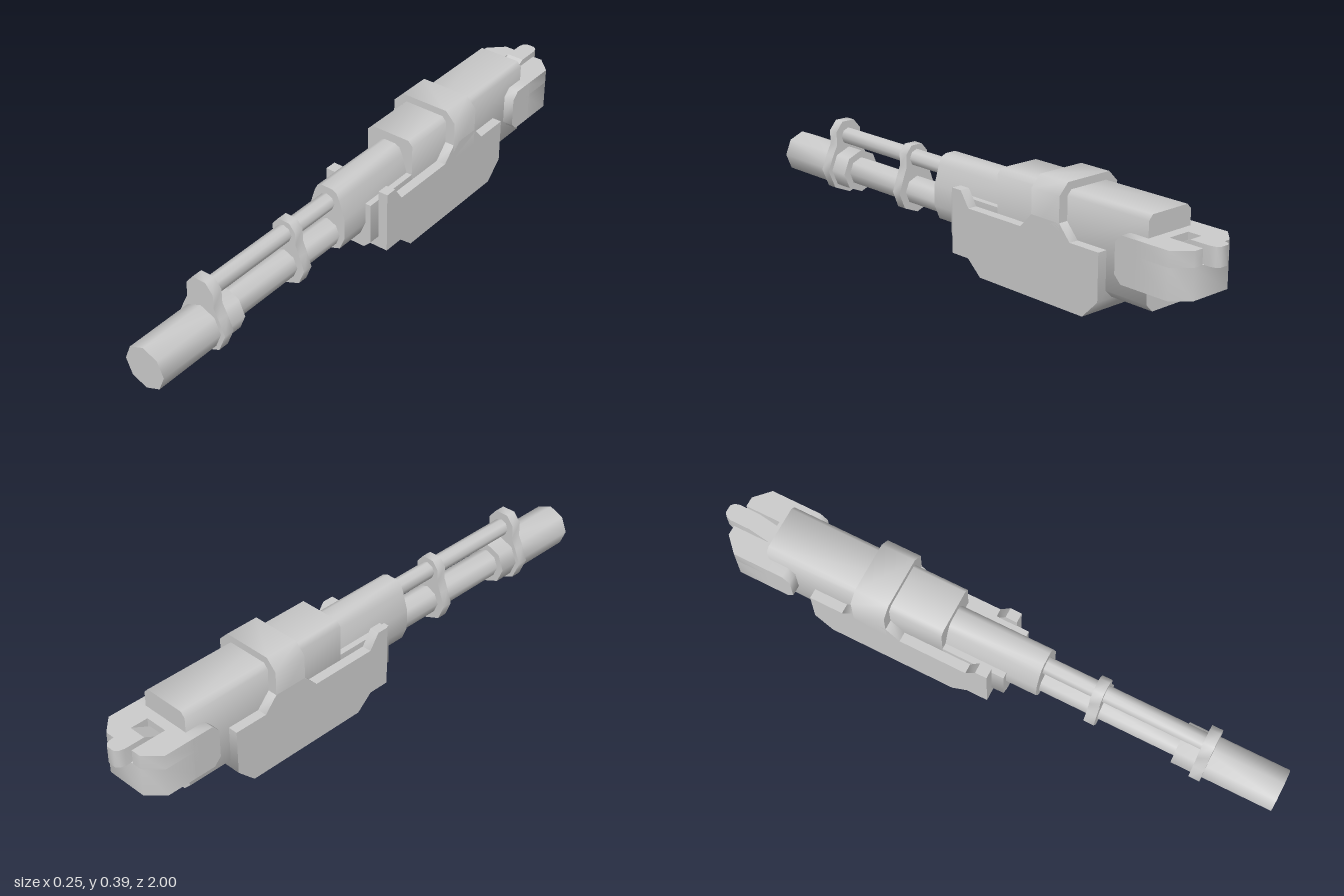
import * as THREE from 'three';
import { toCreasedNormals } from 'three/addons/utils/BufferGeometryUtils.js';

const material = new THREE.MeshStandardMaterial({ color: 0xcccccc });
const AXIS = 0.163; // height of the barrel axis

export function createModel() {
  const model = new THREE.Group();

  const add = (name, geometry) => {
    const mesh = new THREE.Mesh(toCreasedNormals(geometry, 0.9), material);
    mesh.name = name;
    model.add(mesh);
    return mesh;
  };
  const extrude = (points, depth) => new THREE.ExtrudeGeometry(
    new THREE.Shape(points.map(([a, b]) => new THREE.Vector2(a, b))),
    { depth, bevelEnabled: false });
  // mirror a right-hand half outline, listed from bottom to top
  const mirrored = (half) => [...half, ...half.filter(([x]) => x > 0).reverse().map(([x, y]) => [-x, y])];

  // section in x/y, swept along z
  const alongZ = (name, points, z0, z1) => add(name, extrude(points, z1 - z0).translate(0, 0, z0));
  // side outline in z/y, swept along x
  const alongX = (name, points, x0, x1) => add(name,
    extrude(points.map(([z, y]) => [-z, y]), x1 - x0).rotateY(Math.PI / 2).translate(x0, 0, 0));
  // plan outline in x/z, swept along y
  const alongY = (name, points, y0, y1) => add(name,
    extrude(points, y1 - y0).rotateX(Math.PI / 2).translate(0, y1, 0));
  const rod = (name, radius, y, z0, z1, sides) => add(name,
    new THREE.CylinderGeometry(radius, radius, z1 - z0, sides).rotateX(Math.PI / 2)
      .translate(0, y, (z0 + z1) / 2));

  // Barrel, muzzle and upper tube
  rod('muzzle', 0.075, AXIS, 0.65, 1, 8);
  rod('barrel', 0.05, AXIS, 0.15, 0.66, 8);
  rod('upperTube', 0.03, 0.278, 0.15, 0.73, 8);

  // Clamps joining the barrel and the tube
  const frontClamp = mirrored([[0, 0.072], [0.064, 0.099], [0.091, AXIS], [0.07, 0.214],
    [0.052, 0.25], [0.052, 0.3], [0.025, 0.333]]);
  alongZ('frontClamp', frontClamp, 0.72, 0.758);
  const rearClamp = mirrored([[0, 0.086], [0.055, 0.108], [0.077, AXIS], [0.06, 0.212],
    [0.045, 0.25], [0.045, 0.295], [0.022, 0.323]]);
  alongZ('rearClamp', rearClamp, 0.342, 0.378);

  // Housing behind the barrel
  alongZ('barrelHousing', mirrored([[0, 0.097], [0.05, 0.115], [0.07, AXIS], [0.07, 0.235],
    [0.05, 0.3], [0.038, 0.325], [0.02, 0.333]]), -0.2, 0.168);

  // Receiver: full height at the back, low in front
  alongZ('receiver', mirrored([[0.064, 0.066], [0.09, 0.092], [0.09, 0.347], [0.074, 0.364]]), -0.795, -0.16);
  alongZ('receiverFront', mirrored([[0.064, 0.066], [0.09, 0.092], [0.09, 0.238]]), -0.16, 0.06);

  // Wide lower casing
  alongX('lowerCasing', [[0.017, 0.05], [0.017, 0.218], [-0.632, 0.218], [-0.632, 0.062],
    [-0.57, 0], [-0.115, 0], [-0.058, 0.05]], -0.124, 0.124);

  // Raised side plates: front lip and saddle root on each side
  for (const [side, x0, x1] of [['left', 0.089, 0.124], ['right', -0.124, -0.089]]) {
    alongX(side + 'FrontLip', [[0.017, 0.21], [0.017, 0.27], [-0.024, 0.27], [-0.06, 0.218], [-0.06, 0.21]], x0, x1);
    alongX(side + 'SaddleRoot', [[-0.3, 0.21], [-0.3, 0.218], [-0.348, 0.268], [-0.468, 0.268],
      [-0.513, 0.218], [-0.513, 0.21]], x0, x1);
  }

  // Saddle strap over the receiver
  alongZ('saddleStrap', mirrored([[0.124, 0.21], [0.124, 0.352], [0.088, 0.389]]), -0.468, -0.348);

  // Rear bracket: two arms, a closed base and a slotted top
  for (const [side, x0, x1] of [['left', 0.085, 0.127], ['right', -0.127, -0.085]]) {
    alongX(side + 'BracketArm', [[-0.8, 0.145], [-0.725, 0.145], [-0.7, 0.17], [-0.7, 0.27],
      [-0.725, 0.295], [-0.8, 0.295]], x0, x1);
  }
  alongY('bracketBase', mirrored([[0.075, -0.955], [0.127, -0.905], [0.127, -0.78]]), 0.145, 0.245);
  alongY('bracketTop', [[0.127, -0.78], [0.127, -0.905], [0.075, -0.955], [0.04, -0.955], [0.04, -0.83],
    [-0.04, -0.83], [-0.04, -0.955], [-0.075, -0.955], [-0.127, -0.905], [-0.127, -0.78]], 0.245, 0.295);

  // Rounded lug in the slot
  const lug = mirrored([[0.014, -1], [0.026, -0.99], [0.031, -0.972], [0.031, -0.9]]);
  alongY('lugNose', lug, 0.243, 0.305);
  alongX('lugStem', [[-0.9, 0.243], [-0.9, 0.305], [-0.83, 0.27], [-0.83, 0.243]], -0.031, 0.031);

  return model;
}
